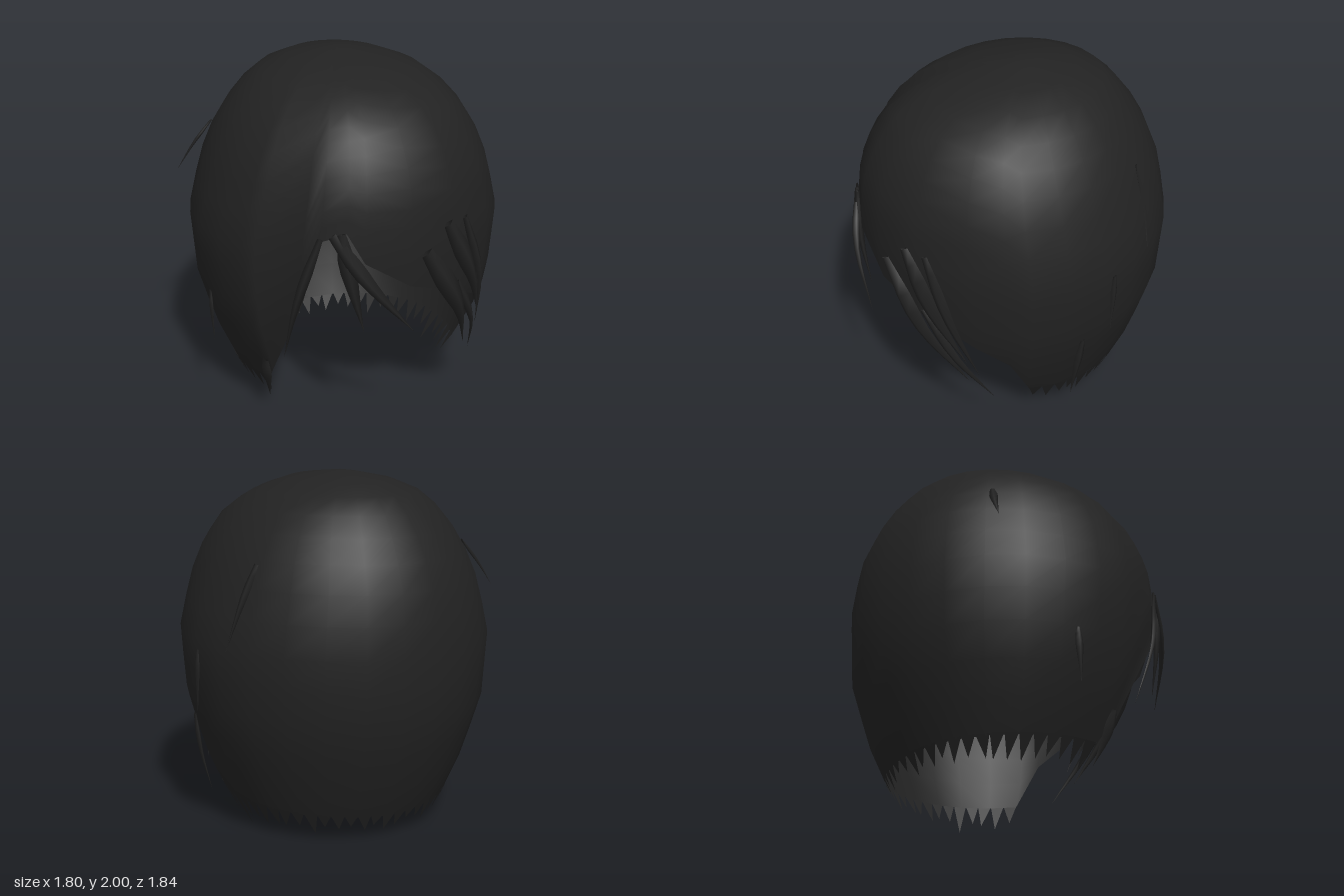
import * as THREE from 'three';

// Cap profile: height, half width, front z, back z
const PROFILE = [
  [2, 0, -0.1, -0.1], [1.97, 0.24, 0.2, -0.36], [1.89, 0.45, 0.46, -0.56], [1.77, 0.61, 0.65, -0.69],
  [1.6, 0.725, 0.77, -0.8], [1.4, 0.81, 0.845, -0.88], [1.1, 0.89, 0.865, -0.925],
  [0.7, 0.86, 0.83, -0.9], [0.3, 0.73, 0.7, -0.77], [0, 0.58, 0.48, -0.62],
];
// Lower edge: angle from the front (towards +x), height
const EDGE = [
  [-62, 0.19], [-57, 0.3], [-39, 0.82], [-33, 1.2], [-24, 1.25], [-17, 1.08], [0, 0.91],
  [20, 0.8], [41, 0.64], [54, 0.49], [62, 0.2], [180, 0.13], [298, 0.19],
];

function sample(table, key, x) {
  let i = 1;
  while (i < table.length - 1 && key(table[i]) < x) i++;
  const a = table[i - 1], b = table[i];
  const t = (x - key(a)) / (key(b) - key(a));
  return a.map((v, k) => v + (b[k] - v) * t);
}
const edgeY = (deg) => sample(EDGE, (r) => r[0], deg)[1];

// Point on the cap at an angle and height
function capPoint(deg, y, lift = 0) {
  const [, rx, zf, zb] = sample(PROFILE, (r) => -r[0], -y);
  const a = THREE.MathUtils.degToRad(deg);
  return new THREE.Vector3(-0.012 + (rx + lift) * Math.sin(a), y,
    (zf + zb) / 2 + ((zf - zb) / 2 + lift) * Math.cos(a));
}

function build(points, index) {
  const g = new THREE.BufferGeometry().setFromPoints(points);
  g.setIndex(index);
  g.computeVertexNormals();
  return g;
}

// Smooth cap, with columns ending on the lower edge
function capGeometry() {
  const cols = EDGE.filter((e) => e[0] <= 62).map((e) => e[0]);
  for (let d = 76; d < 298; d += 14) cols.push(d);
  const rows = 14, points = [capPoint(0, 2)], index = [];
  const fall = (t) => 1 - Math.cos(t * Math.PI * 0.6);
  for (const d of cols) {
    for (let j = 1; j <= rows; j++) {
      points.push(capPoint(d, 2 - (2 - edgeY(d)) * fall(j / rows) / fall(1)));
    }
  }
  const id = (i, j) => (j === 0 ? 0 : 1 + (i % cols.length) * rows + j - 1);
  for (let i = 0; i < cols.length; i++) {
    for (let j = 0; j < rows; j++) {
      if (j > 0) index.push(id(i, j), id(i, j + 1), id(i + 1, j));
      index.push(id(i + 1, j), id(i, j + 1), id(i + 1, j + 1));
    }
  }
  return build(points, index);
}

// Ragged teeth along the hem
function hemGeometry() {
  let seed = 7;
  const rnd = () => (seed = (seed * 16807) % 2147483647) / 2147483647;
  const points = [], index = [], count = 36, step = 236 / count;
  for (let i = 0; i < count; i++) {
    const d0 = 62 + i * step, d1 = d0 + step;
    const mid = d0 + step * (0.2 + rnd() * 0.6);
    const tip = i === 4 ? 0 : 0.025 + rnd() * 0.06;
    points.push(capPoint(d0, edgeY(d0) + 0.01), capPoint(mid, tip), capPoint(d1, edgeY(d1) + 0.01));
    index.push(i * 3, i * 3 + 1, i * 3 + 2);
  }
  return build(points, index);
}

// Tapered flat lock with a diamond section, lying along the cap and lifting towards its tip
function lockGeometry([deg0, y0], [deg1, y1], tipLift, width) {
  const curve = new THREE.CatmullRomCurve3([0, 0.5, 1].map((t) => capPoint(
    THREE.MathUtils.lerp(deg0, deg1, t), THREE.MathUtils.lerp(y0, y1, t), 0.01 + tipLift * t)));
  const n = 8, points = [], index = [];
  for (let i = 0; i <= n; i++) {
    const t = i / n, p = curve.getPoint(t), tan = curve.getTangent(t);
    const out = new THREE.Vector3(p.x, 0, p.z).normalize();
    const side = new THREE.Vector3().crossVectors(tan, out).normalize();
    const s = t < 0.3 ? 0.5 + t / 0.6 : Math.max((1 - t) / 0.7, 0.01);
    for (let k = 0; k < 4; k++) {
      const a = k * Math.PI / 2;
      points.push(p.clone().addScaledVector(side, Math.cos(a) * s * width / 2)
        .addScaledVector(out, Math.sin(a) * s * width / 4));
    }
  }
  for (let i = 0; i < n; i++) {
    for (let k = 0; k < 4; k++) {
      const a = i * 4 + k, b = i * 4 + (k + 1) % 4;
      index.push(a, a + 4, b, b, a + 4, b + 4);
    }
  }
  return build(points, index);
}

export function createModel() {
  const group = new THREE.Group();
  group.name = 'hair';
  const hair = new THREE.MeshStandardMaterial({ color: 0x222222, side: THREE.DoubleSide });
  hair.name = 'black hair';
  const add = (name, geometry) => {
    const mesh = new THREE.Mesh(geometry, hair);
    mesh.name = name;
    group.add(mesh);
  };
  add('hairCap', capGeometry());
  add('raggedHem', hemGeometry());

  // Locks: root and tip as angle and height, tip lift, width
  const lock = (name, ...spec) => add(name, lockGeometry(...spec));
  lock('rightFringeLock', [-29, 1.24], [-1, 0.68], 0.09, 0.09);
  lock('rightFringeLock', [-26, 1.25], [-17, 0.67], 0, 0.1);
  lock('rightTempleLock', [-33, 1.22], [-48, 0.45], 0.02, 0.06);
  lock('leftFringeLock', [5, 1.1], [37, 0.35], 0.04, 0.14);
  lock('leftFringeLock', [15, 1.23], [38, 0.55], 0.05, 0.13);
  lock('leftFringeLock', [24, 1.23], [42, 0.45], 0.05, 0.08);
  lock('leftFringeLock', [21, 0.85], [47, 0.24], 0.08, 0.07);

  // Loose strands around the sides
  lock('leftUpperStrand', [116, 1.55], [110, 1.09], 0.01, 0.05);
  lock('leftMiddleStrand', [93, 1.06], [92, 0.69], 0.03, 0.05);
  lock('leftLowerStrand', [82, 0.65], [80, 0.18], 0.08, 0.06);
  lock('rightUpperStrand', [-114, 1.58], [-111, 1.3], 0.1, 0.05);
  lock('rightLowerStrand', [-83, 0.72], [-82, 0.41], 0.09, 0.05);
  lock('rightHemLock', [-59, 0.37], [-61, 0.07], 0.05, 0.08);
  return group;
}
